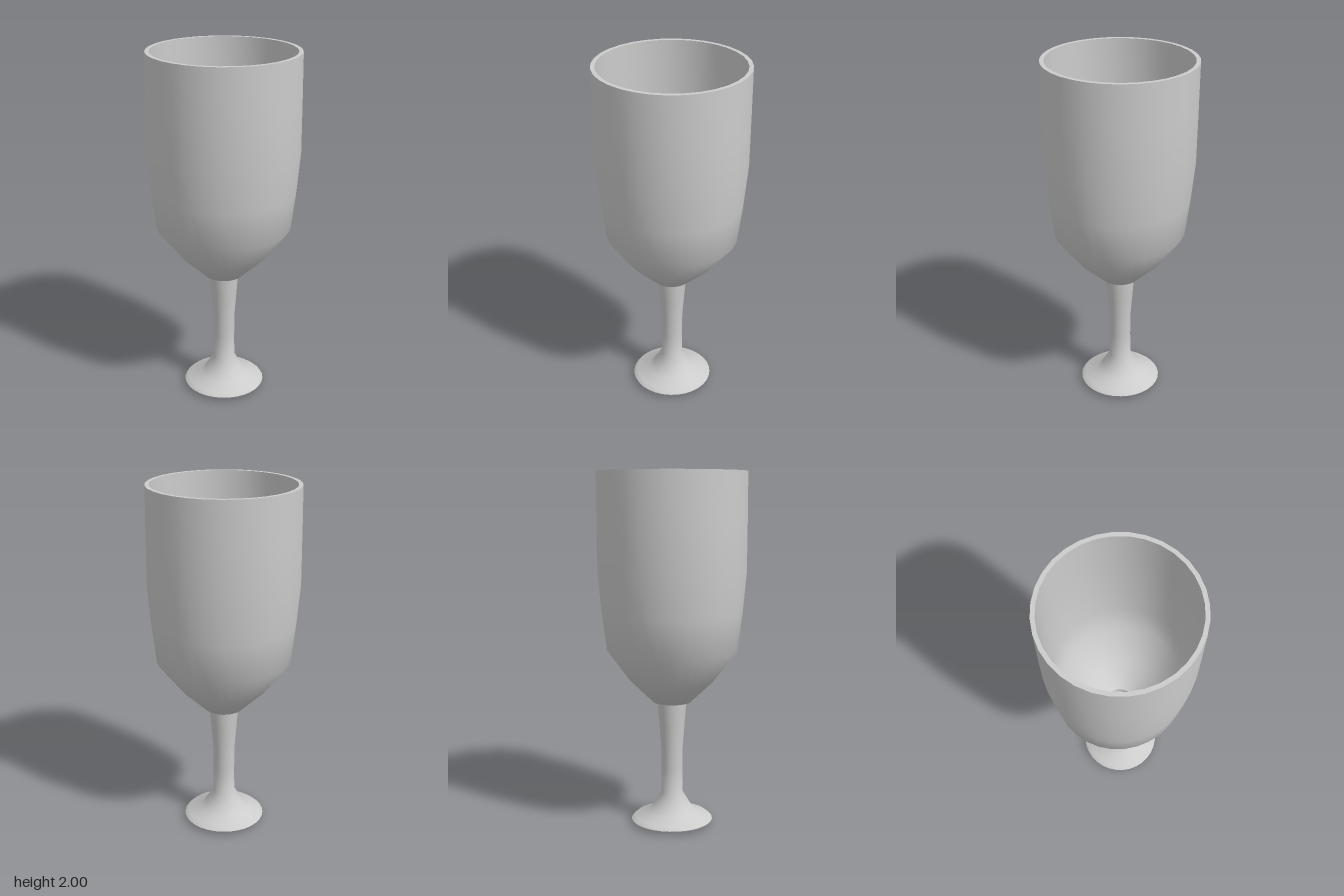
import * as THREE from 'three';
import { toCreasedNormals } from 'three/addons/utils/BufferGeometryUtils.js';

const SEGMENTS = 32;
const material = new THREE.MeshStandardMaterial({ color: 0xcccccc, side: THREE.DoubleSide });

// Smallest depth/width ratio of the bowl at its shoulder; rim and base are round.
function depthRatio(y) {
  const shoulder = 1.015, squash = 0.045;
  const t = y > shoulder ? (2 - y) / (2 - shoulder) : (y - 0.715) / (shoulder - 0.715);
  return 1 - squash * THREE.MathUtils.clamp(t, 0, 1);
}

function turned(name, profile, reshape) {
  const points = profile.map(([r, y]) => new THREE.Vector2(r, y));
  const geometry = new THREE.LatheGeometry(points, SEGMENTS);
  if (reshape) {
    const p = geometry.attributes.position;
    for (let i = 0; i < p.count; i++) p.setZ(i, p.getZ(i) * reshape(p.getY(i)));
  }
  const mesh = new THREE.Mesh(toCreasedNormals(geometry, 0.9), material);
  mesh.name = name;
  return mesh;
}

export function createModel() {
  const goblet = new THREE.Group();
  goblet.name = 'goblet';

  // Bowl: up the outer wall, over the flat rim and down the inner wall
  goblet.add(turned('bowl', [
    [0.082, 0.715], [0.108, 0.715], [0.24, 0.84], [0.378, 1.015], [0.402, 1.23],
    [0.42, 1.45], [0.418, 1.72], [0.415, 2],
    [0.392, 2], [0.393, 1.72], [0.393, 1.45], [0.376, 1.23], [0.353, 1.03],
    [0.22, 0.86], [0.1, 0.735], [0.082, 0.725],
  ], depthRatio));

  // Hollow stem flaring into a closed foot
  goblet.add(turned('stemAndFoot', [
    [0, 0.01], [0.12, 0.008], [0.2, 0], [0.228, 0.012], [0.233, 0.022], [0.21, 0.042],
    [0.135, 0.067], [0.1, 0.115], [0.062, 0.18], [0.061, 0.32], [0.062, 0.45],
    [0.072, 0.58], [0.083, 0.72],
  ]));

  return goblet;
}
